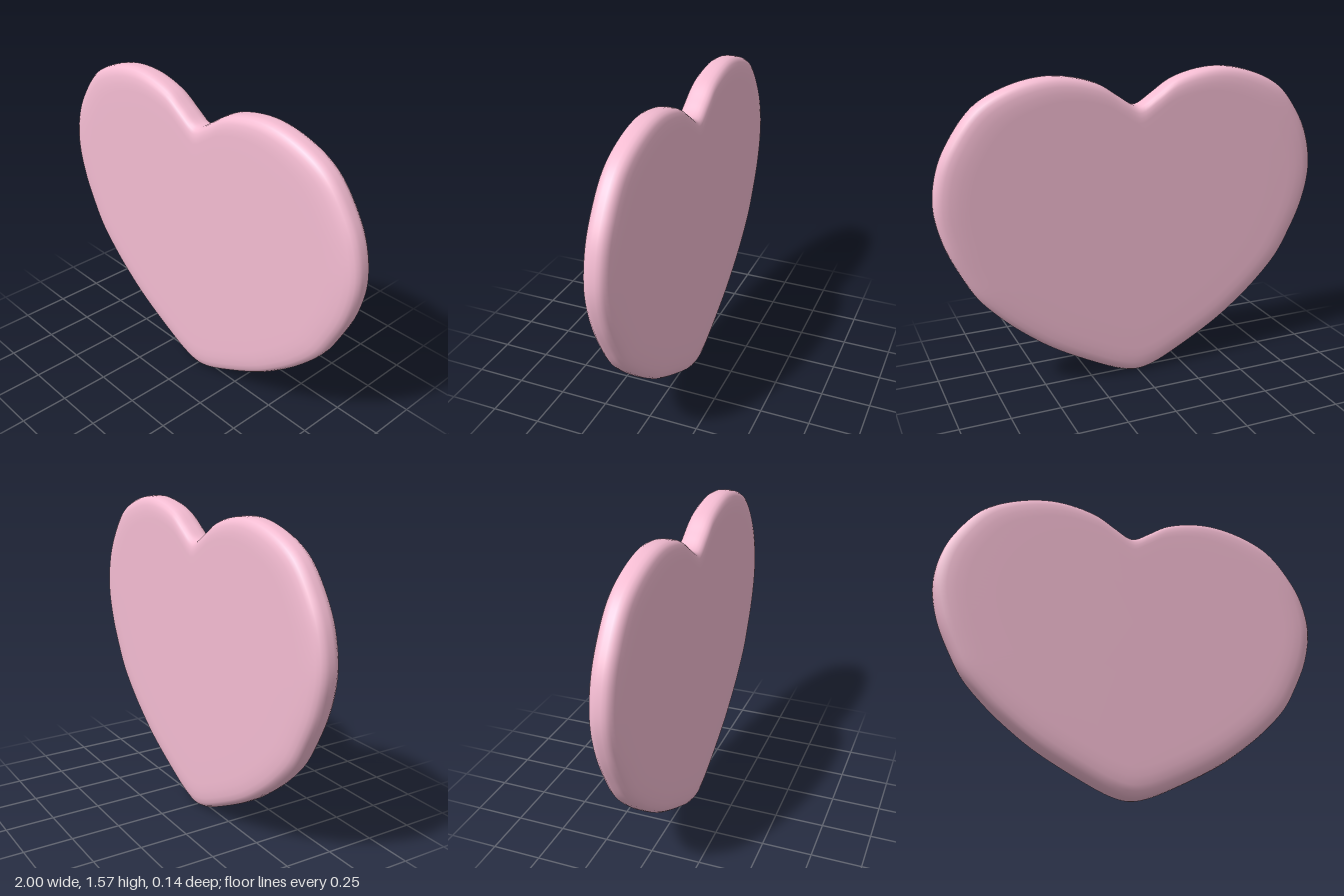
import * as THREE from 'three';

// right half of the outline, from the bottom tip to the notch
const HALF = [
  [0, 0], [0.09, 0.018], [0.25, 0.092], [0.46, 0.21], [0.59, 0.305], [0.7, 0.4],
  [0.82, 0.53], [0.89, 0.65], [0.965, 0.82], [1, 1], [0.975, 1.17], [0.915, 1.3],
  [0.79, 1.455], [0.62, 1.54], [0.42, 1.572], [0.21, 1.53], [0.1, 1.463], [0.03, 1.418], [0, 1.41],
];
// rim cross-section: scale towards the middle, and half thickness
const RIM = [
  [1, 0.012], [0.997, 0.03], [0.985, 0.046], [0.965, 0.057], [0.935, 0.064],
  [0.89, 0.068], [0.84, 0.069], [0.7, 0.069], [0.35, 0.069],
];
const CENTRE_Y = 0.9;

function heartGeometry() {
  const left = HALF.slice(1, -1).reverse().map(([x, y]) => [-x, y]);
  const points = [...HALF, ...left].map(([x, y]) => new THREE.Vector3(x, y, 0));
  const curve = new THREE.CatmullRomCurve3(points, true, 'centripetal');
  const n = points.length * 6;
  const outline = curve.getPoints(n).slice(0, n);

  // scaled outline loops from the back face round the rim to the front face
  const loops = [...RIM.map(([s, z]) => [s, -z]).reverse(), ...RIM];
  const position = [];
  const index = [];
  for (const [s, z] of loops) {
    for (const p of outline) position.push(p.x * s, CENTRE_Y + (p.y - CENTRE_Y) * s, z);
  }
  for (let r = 0; r < loops.length - 1; r++) {
    for (let i = 0; i < n; i++) {
      const j = (i + 1) % n;
      const a = r * n + i, b = r * n + j;
      index.push(a, b, b + n, a, b + n, a + n);
    }
  }
  // flat middles of both faces
  const back = loops.length * n, front = back + 1, last = (loops.length - 1) * n;
  position.push(0, CENTRE_Y, loops[0][1], 0, CENTRE_Y, -loops[0][1]);
  for (let i = 0; i < n; i++) {
    const j = (i + 1) % n;
    index.push(j, i, back, last + i, last + j, front);
  }

  const geometry = new THREE.BufferGeometry();
  geometry.setAttribute('position', new THREE.Float32BufferAttribute(position, 3));
  geometry.setIndex(index);
  geometry.computeVertexNormals();
  return geometry;
}

export function createModel() {
  const group = new THREE.Group();
  const material = new THREE.MeshStandardMaterial({ color: 0xf4bcd2 });
  const heart = new THREE.Mesh(heartGeometry(), material);
  heart.name = 'heart';
  group.add(heart);
  return group;
}
